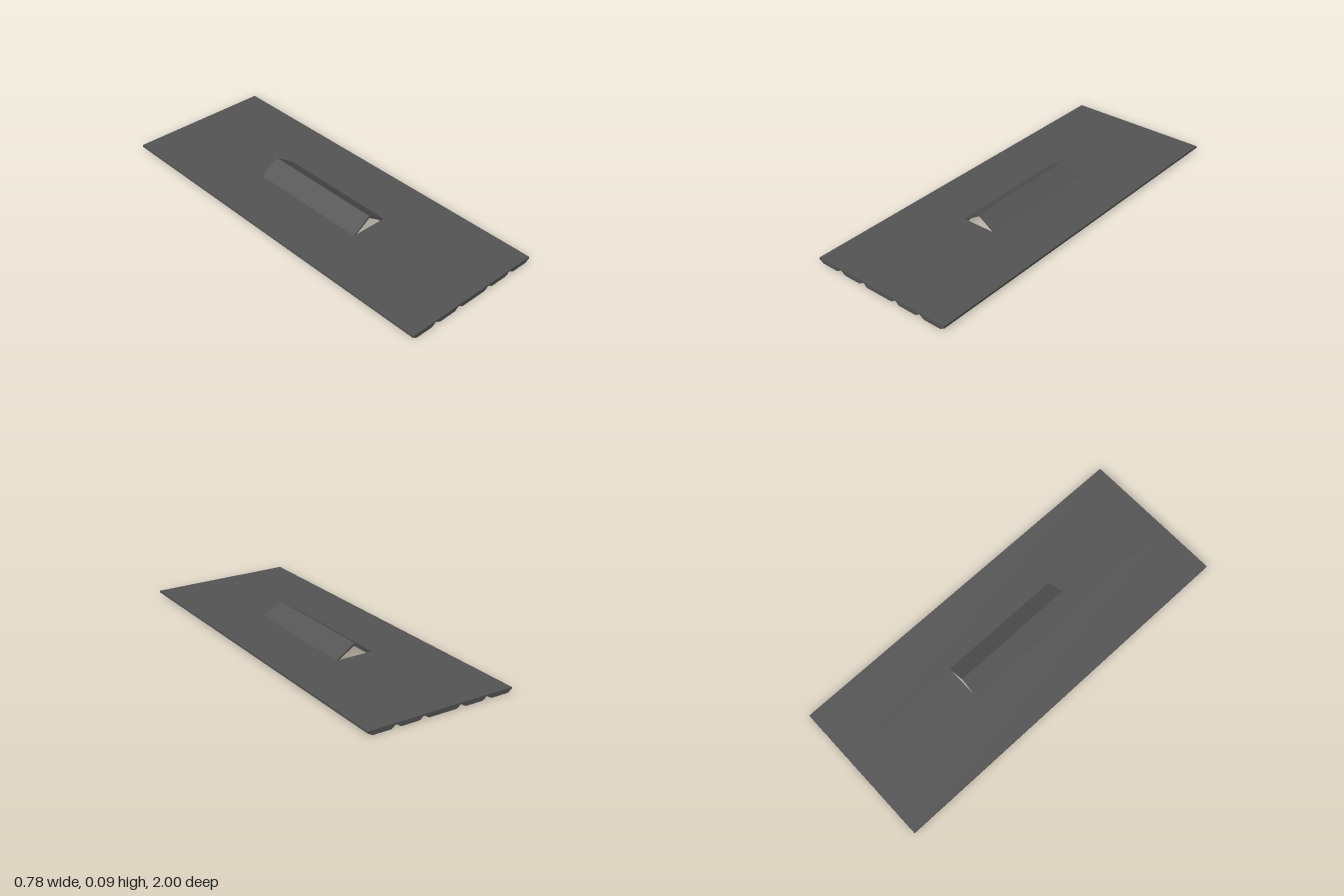
import * as THREE from 'three';

const TOP = 0.023, LENGTH = 2, EDGE = 0.39, HOLE = 0.34;
// half of a rounded groove, from its foot to its crown: [distance from centre, height]
const GROOVE = [[0.027, 0], [0.014, 0.006], [0.013, 0.010], [0.006, 0.014], [0, 0.015]];

export function createModel() {
  const group = new THREE.Group();
  const material = new THREE.MeshStandardMaterial({ color: 0x555555, flatShading: true });

  // extrude an outline in x, y along z between two stations
  const add = (name, points, z0, z1) => {
    const shape = new THREE.Shape(points.map(([x, y]) => new THREE.Vector2(x, y)));
    const geometry = new THREE.ExtrudeGeometry(shape, { depth: z1 - z0, bevelEnabled: false });
    geometry.translate(0, 0, z0);
    const mesh = new THREE.Mesh(geometry, material);
    mesh.name = name;
    group.add(mesh);
  };
  const mirror = (points) => points.map(([x, y]) => [-x, y]).reverse();

  const rising = (c) => GROOVE.map(([d, y]) => [c - d, y]);
  const falling = (c) => GROOVE.slice(0, -1).reverse().map(([d, y]) => [c + d, y]);

  // side strips with grooved undersides and a stepped outer edge
  const side = [
    ...rising(0.1).slice(2), ...falling(0.1),
    ...rising(0.247), ...falling(0.247),
    [0.367, 0], [0.378, 0.006], [0.379, 0.010], [EDGE, 0.012],
    [EDGE, TOP], [0.087, TOP],
  ];
  add('leftPanel', side, -LENGTH / 2, LENGTH / 2);
  add('rightPanel', mirror(side), -LENGTH / 2, LENGTH / 2);

  // centre strip, interrupted by the opening under the ridge
  const half = rising(0.1).slice(0, 3);
  const centre = [...mirror(half), ...half, [0.087, TOP], [-0.087, TOP]];
  add('frontCentrePanel', centre, HOLE, LENGTH / 2);
  add('backCentrePanel', centre, -LENGTH / 2, -HOLE);

  // open-ended ridge cover over the opening
  const ridge = [[0.1, TOP], [0, 0.09], [-0.1, TOP], [-0.085, TOP], [0, 0.078], [0.085, TOP]];
  add('ridgeCover', ridge, -HOLE, HOLE);

  return group;
}
